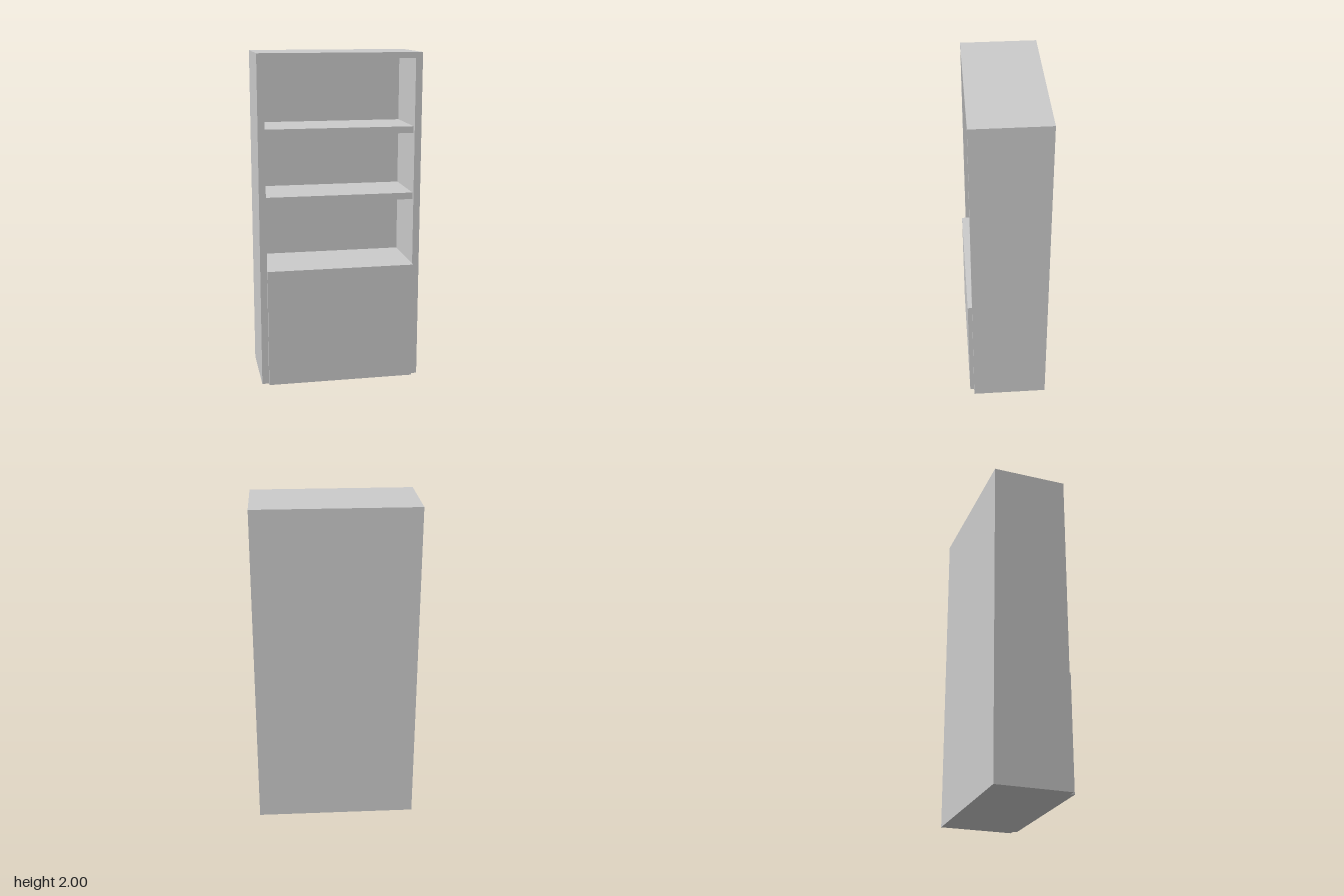
import * as THREE from 'three';

export function createModel() {
  const group = new THREE.Group();
  const material = new THREE.MeshStandardMaterial({ color: 0xcccccc, flatShading: true });

  // Box given by its min and max on each axis
  function box(name, [x0, x1], [y0, y1], [z0, z1]) {
    const mesh = new THREE.Mesh(new THREE.BoxGeometry(x1 - x0, y1 - y0, z1 - z0), material);
    mesh.position.set((x0 + x1) / 2, (y0 + y1) / 2, (z0 + z1) / 2);
    mesh.name = name;
    group.add(mesh);
  }

  const outer = 0.488, inner = 0.447;
  const back = -0.24, backInner = -0.175, front = 0.215;
  const span = [-inner, inner];
  const topInner = 1.965, cupboardTop = 0.72;

  // Carcass: sides, top and back panel
  box('leftSide', [inner, outer], [0, 2], [back, front]);
  box('rightSide', [-outer, -inner], [0, 2], [back, front]);
  box('topPanel', span, [topInner, 2], [back, front]);
  box('backPanel', span, [0, topInner], [back, backInner]);

  // Lower cupboard, standing slightly proud of the carcass
  box('lowerCupboard', span, [0, cupboardTop], [backInner, 0.24]);

  // Open shelves, set back from the front edge
  [1.12, 1.523].forEach((y, i) => box(`shelf${i + 1}`, span, [y, y + 0.04], [backInner, 0.19]));

  return group;
}
